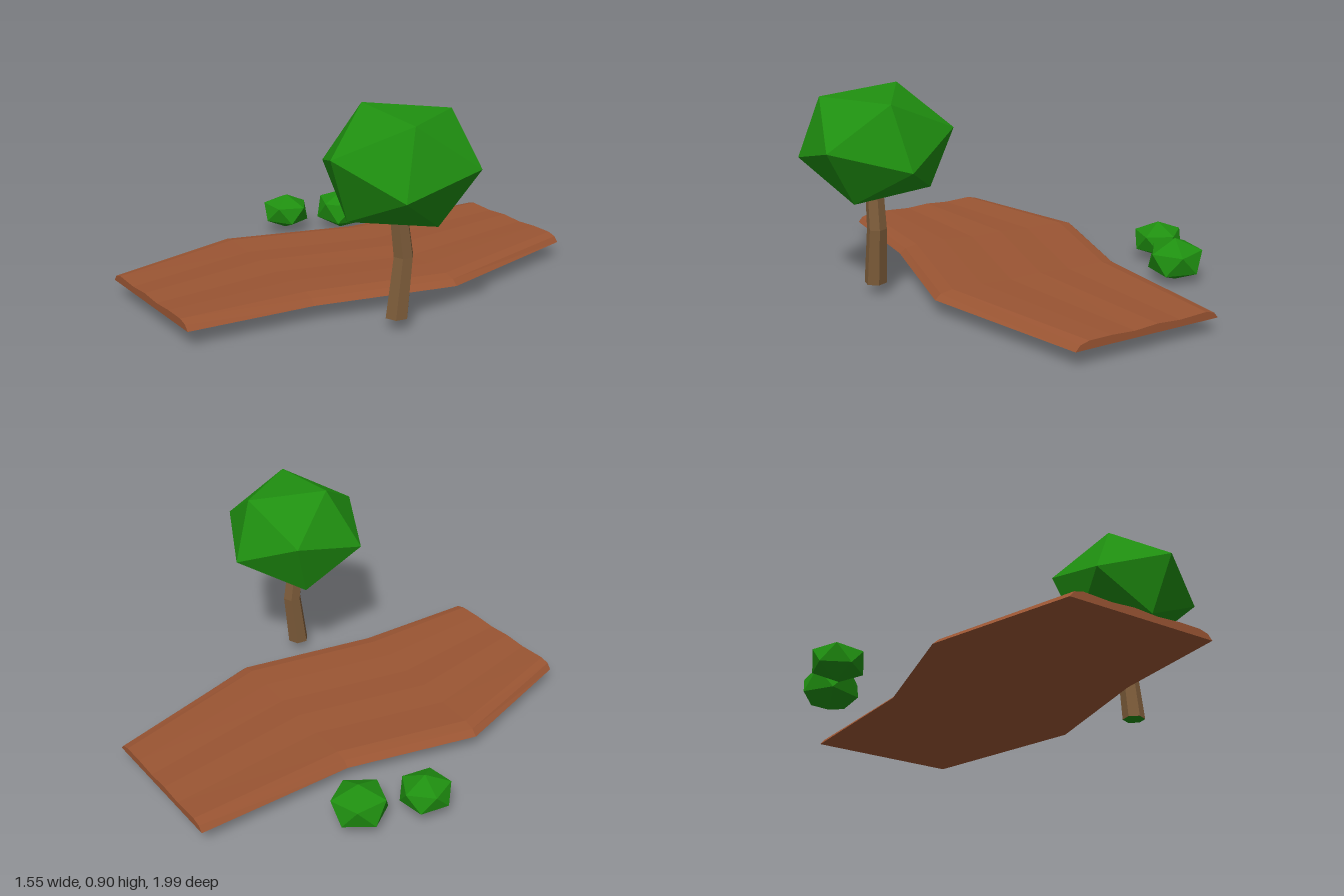
import * as THREE from 'three';

const paint = (color) => new THREE.MeshStandardMaterial({ color, flatShading: true, roughness: 1 });

function add(group, name, geometry, material) {
  const mesh = new THREE.Mesh(geometry, material);
  mesh.name = name;
  group.add(mesh);
  return mesh;
}

// Closed solid lofted through equal rings of points, with fan caps on both ends
function loft(rings) {
  const n = rings[0].length;
  const pos = rings.flat(2);
  const index = [];
  for (let i = 0; i < rings.length - 1; i++) {
    for (let j = 0; j < n; j++) {
      const a = i * n + j, c = i * n + ((j + 1) % n);
      index.push(a, a + n, c, c, a + n, c + n);
    }
  }
  const last = (rings.length - 1) * n;
  for (let j = 1; j < n - 1; j++) {
    index.push(0, j, j + 1);
    index.push(last, last + j + 1, last + j);
  }
  const g = new THREE.BufferGeometry();
  g.setAttribute('position', new THREE.Float32BufferAttribute(pos, 3));
  g.setIndex(index);
  const flat = g.toNonIndexed();
  flat.computeVertexNormals();
  return flat;
}

// Winding dirt path: left and right edge [x, z] at four sections
function pathGeometry() {
  const sections = [
    [0.18, -1.0, 0.76, -0.66],
    [-0.19, -0.4, 0.55, 0.08],
    [-0.62, 0.02, 0.12, 0.54],
    [-0.78, 0.65, -0.19, 0.99],
  ];
  // Gently rutted cross-section: [fraction across, height]
  const profile = [
    [0, 0.07], [0.03, 0.095], [0.09, 0.105], [0.28, 0.099], [0.44, 0.106],
    [0.6, 0.099], [0.76, 0.105], [0.91, 0.104], [0.97, 0.093], [1, 0.07],
  ];
  return loft(sections.map(([x0, z0, x1, z1]) =>
    profile.map(([t, y]) => [x0 + (x1 - x0) * t, y, z0 + (z1 - z0) * t])));
}

// Slightly bent six-sided trunk: [x, y, z, radius]
function trunkGeometry() {
  const rings = [
    [0.44, 0.05, 0.45, 0.049],
    [0.455, 0.3, 0.425, 0.043],
    [0.437, 0.52, 0.447, 0.038],
  ];
  return loft(rings.map(([x, y, z, r]) =>
    Array.from({ length: 6 }, (_, k) => {
      const a = (k * Math.PI) / 3 + 0.15;
      return [x + r * Math.cos(a), y, z + r * Math.sin(a)];
    })));
}

// Icosahedron whose pole is turned by `roll`, then squashed and tilted
function leafBall(roll, yaw, width, height, tilt) {
  return new THREE.IcosahedronGeometry(1, 0)
    .rotateZ(roll).rotateY(yaw).scale(width, height, width).rotateZ(tilt);
}

export function createModel() {
  const model = new THREE.Group();
  model.name = 'pathWithTree';
  const leaves = paint(0x1f8f10);

  add(model, 'dirtPath', pathGeometry(), paint(0x9a5533));

  // Tree: trunk, green underside of the trunk, and crown
  const tree = new THREE.Group();
  tree.name = 'tree';
  model.add(tree);
  add(tree, 'trunk', trunkGeometry(), paint(0x7d5c3a));
  const base = new THREE.CircleGeometry(0.049, 6, 0.15).rotateX(Math.PI / 2);
  add(tree, 'trunkBase', base, leaves).position.set(0.44, 0.049, 0.45);
  const goldenAngle = Math.atan2(1 + Math.sqrt(5), 2);
  add(tree, 'crown', leafBall(goldenAngle - Math.PI, 0, 0.337, 0.267, 0.06), leaves)
    .position.set(0.4375, 0.67, 0.43);

  // Bushes with their poles upright
  const upright = Math.PI / 2 - goldenAngle;
  const bushes = [
    { at: [-0.335, 0.098, -0.617], width: 0.133, height: 0.097, yaw: 0.035, tilt: -0.07 },
    { at: [-0.555, 0.103, -0.445], width: 0.12, height: 0.083, yaw: 0.49, tilt: -0.06 },
  ];
  for (const b of bushes) {
    add(model, 'bush', leafBall(upright, b.yaw, b.width, b.height, b.tilt), leaves)
      .position.set(...b.at);
  }
  return model;
}
